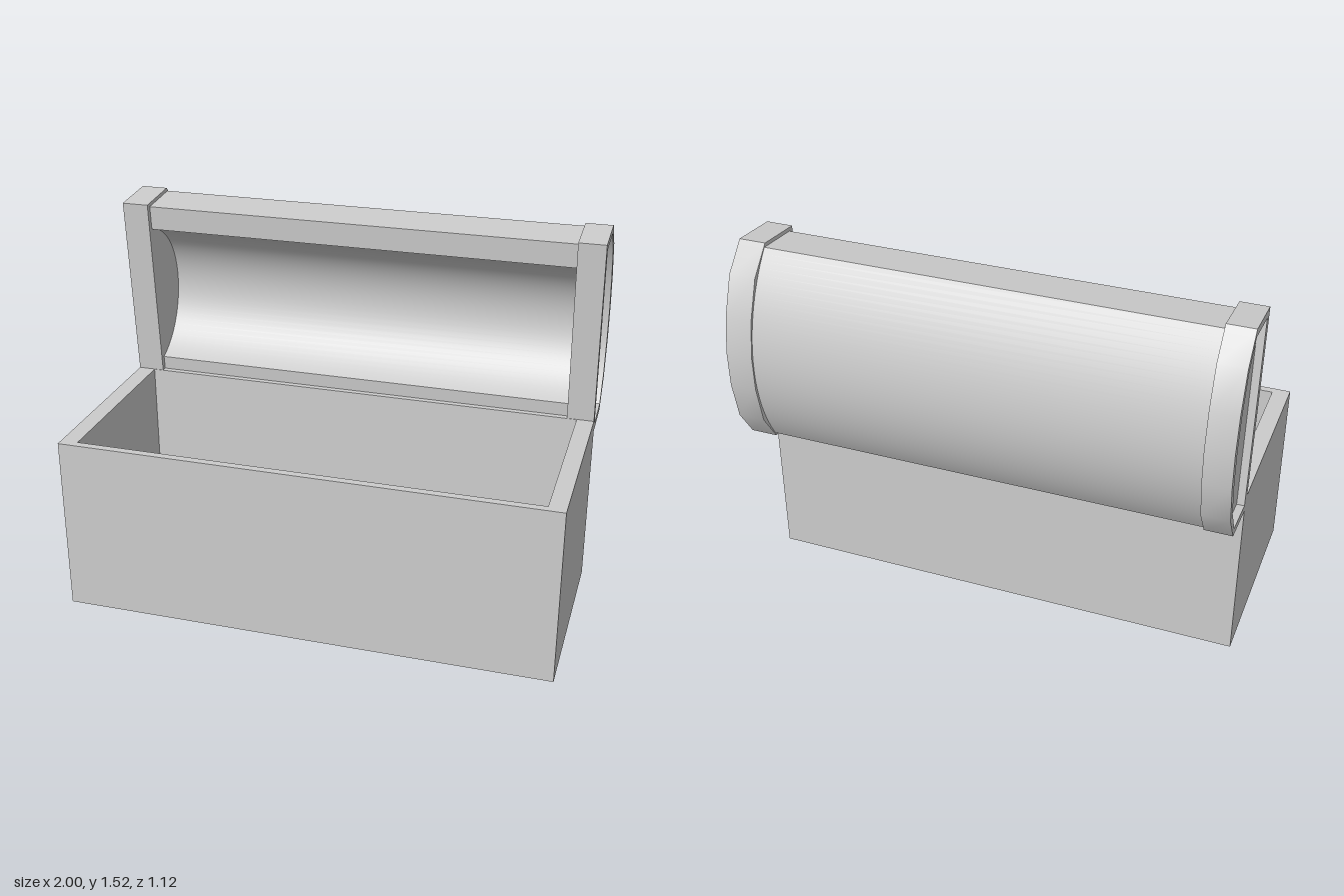
import * as THREE from 'three';
import { toCreasedNormals } from 'three/addons/utils/BufferGeometryUtils.js';

const material = new THREE.MeshStandardMaterial({ color: 0xcccccc });
const MID = 0.415; // middle of the lid's height

function mesh(name, geometry) {
  const m = new THREE.Mesh(geometry, material);
  m.name = name;
  return m;
}

// lid profile points are [depth behind the lid's front, height above its hinge edge]
const shapeOf = (points, Type = THREE.Shape) =>
  new Type(points.map(([d, u]) => new THREE.Vector2(-d, u)));

// extrude a lid profile along x, between x0 and x1
function extrudeX(shape, x0, x1) {
  const g = new THREE.ExtrudeGeometry(shape, { depth: x1 - x0, bevelEnabled: false });
  g.rotateY(-Math.PI / 2).translate(x1, 0, 0);
  return toCreasedNormals(g, 0.6);
}

// circular arc from top to bottom, bulging backwards by sag
function arc(d, half, sag, n) {
  const r = (half * half + sag * sag) / (2 * sag);
  const a = Math.atan2(half, r - sag);
  return Array.from({ length: n + 1 }, (_, i) => {
    const t = a - (2 * a * i) / n;
    return [d + sag - r + r * Math.cos(t), MID + r * Math.sin(t)];
  });
}

function createBase() {
  const base = new THREE.Group();
  base.name = 'base';
  const h = 0.73, zBack = -0.26, zFront = 0.565;

  // walls with an open top
  const walls = new THREE.Shape();
  walls.moveTo(-1, -zFront).lineTo(1, -zFront).lineTo(1, -zBack).lineTo(-1, -zBack).closePath();
  const cavity = new THREE.Path();
  cavity.moveTo(-0.93, -0.533).lineTo(-0.93, 0.23).lineTo(0.93, 0.23).lineTo(0.93, -0.533).closePath();
  walls.holes.push(cavity);
  const g = new THREE.ExtrudeGeometry(walls, { depth: h, bevelEnabled: false });
  g.rotateX(-Math.PI / 2);
  base.add(mesh('walls', g));

  // floor
  const floor = mesh('floor', new THREE.BoxGeometry(1.86, 0.03, 0.763));
  floor.position.set(0, 0.015, 0.1515);
  base.add(floor);
  return base;
}

function createLid() {
  const lid = new THREE.Group();
  lid.name = 'lid';

  // curved barrel, hollowed from the front
  const barrel = [
    [0.023, MID + 0.4], ...arc(0.215, 0.4, 0.132, 32), [0.023, MID - 0.4],
    ...arc(0.023, 0.3, 0.225, 32).reverse(),
  ];
  lid.add(mesh('barrel', extrudeX(shapeOf(barrel), -0.89, 0.89)));

  // end bands with a recessed panel
  const back = [[0.209, 0.83], [0.297, 0.717], [0.343, 0.56], [0.357, MID]];
  const outline = [[0, 0.83], ...back,
    ...back.slice(0, 3).reverse().map(([d, u]) => [d, 0.83 - u]), [0, 0]];
  const inset = outline.map(([d, u]) => [0.034 + d * 0.81, MID + (u - MID) * 0.925]);
  for (const [side, s] of [['left', 1], ['right', -1]]) {
    const span = (a, b) => (s > 0 ? [a, b] : [-b, -a]);
    const band = shapeOf(outline);
    band.holes.push(shapeOf(inset, THREE.Path));
    lid.add(mesh(side + 'EndBand', extrudeX(band, ...span(0.89, 1))));
    lid.add(mesh(side + 'EndPanel', extrudeX(shapeOf(inset), ...span(0.89, 0.97))));
  }

  // swung open, resting on the back edge of the base
  lid.position.set(0, 0.671, -0.237);
  lid.rotation.x = 0.082;
  return lid;
}

export function createModel() {
  const chest = new THREE.Group();
  chest.name = 'chest';
  chest.add(createBase(), createLid());
  return chest;
}
